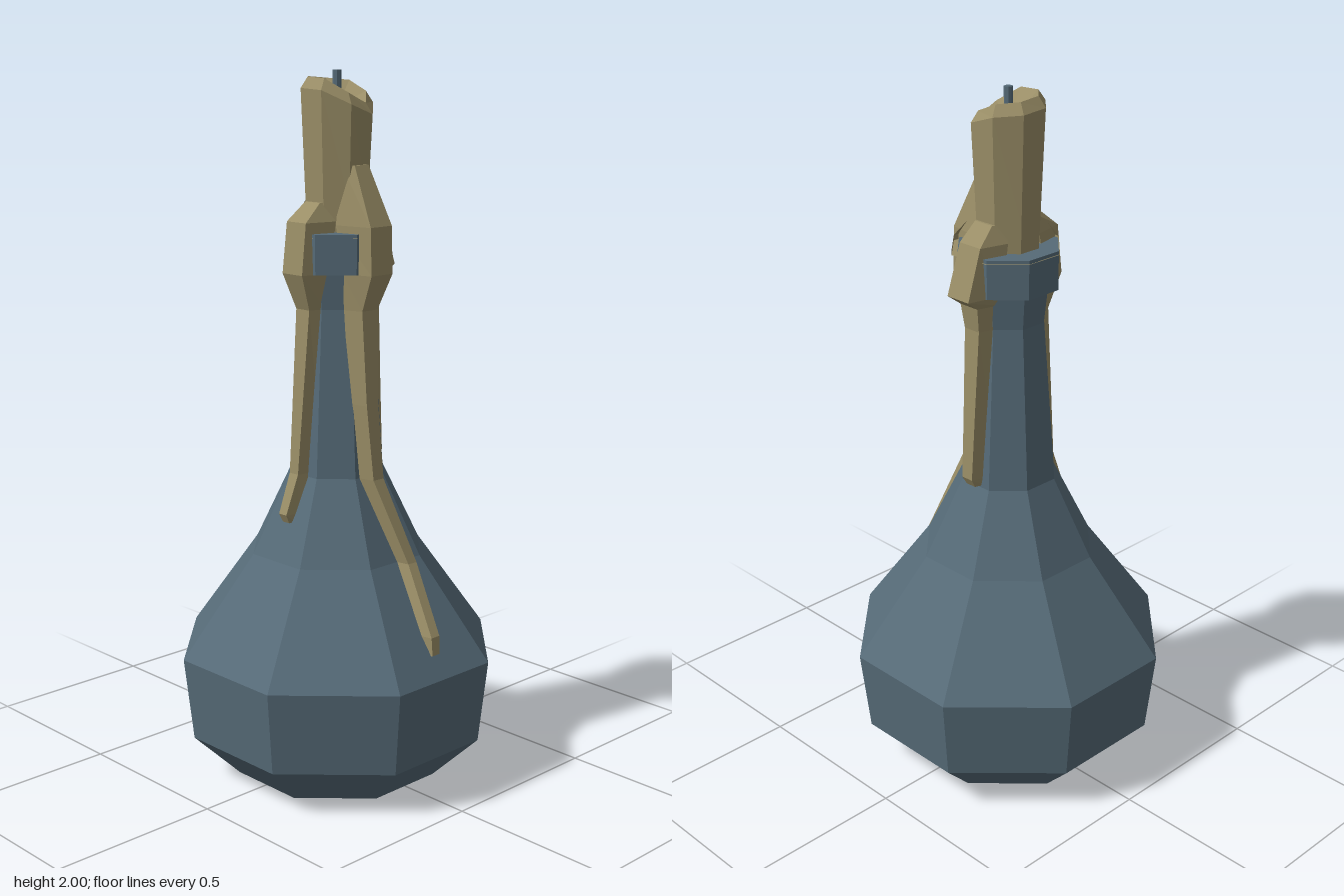
import * as THREE from 'three';

const SIDES = 8;
const CORNER = 1 / Math.cos(Math.PI / SIDES); // flat-to-flat radius -> corner radius

const flat = (geometry) => {
  const g = geometry.index ? geometry.toNonIndexed() : geometry;
  g.computeVertexNormals();
  return g;
};

// Eight-sided turned form with flats facing the axes; points are [radius to flat, y].
// An optional rule moves each vertex: rule(position, angle), angle 0 = +z, PI/2 = +x.
function turned(points, rule) {
  const profile = points.map(([r, y]) => new THREE.Vector2(r * CORNER, y));
  const g = new THREE.LatheGeometry(profile, SIDES, Math.PI / SIDES);
  if (rule) {
    const p = g.attributes.position;
    const v = new THREE.Vector3();
    for (let i = 0; i < p.count; i++) {
      v.fromBufferAttribute(p, i);
      rule(v, Math.atan2(v.x, v.z));
      p.setXYZ(i, v.x, v.y, v.z);
    }
  }
  return flat(g);
}

const BOTTLE = [
  [0, 0], [0.28, 0], [0.405, 0.13], [0.43, 0.37], [0.235, 0.66], [0.13, 0.89],
  [0.097, 1.36], [0.107, 1.46], [0.135, 1.46], [0.135, 1.57], [0, 1.57],
];

// Depth at which a drip is rooted, just under the glass
function rootDepth(y) {
  if (y > 1.36) return y > 1.57 ? 0.06 : 0.085;
  const i = BOTTLE.findIndex((p) => p[1] >= y);
  const [r0, y0] = BOTTLE[i - 1];
  const [r1, y1] = BOTTLE[i];
  return r0 + ((r1 - r0) * (y - y0)) / (y1 - y0) - 0.012;
}

// Wax drip running downward; sections are [y, outer depth, sideways shift, half width]
function drip(angle, sections) {
  const s = Math.sin(angle), c = Math.cos(angle);
  const rings = sections.map(([y, depth, shift, half]) => {
    const root = Math.min(rootDepth(y), depth - 0.005);
    return [[root, -half], [depth, -half * 0.65], [depth, half * 0.65], [root, half]]
      .map(([d, w]) => [s * d + c * (w + shift), y, c * d - s * (w + shift)]);
  });
  const out = [];
  const quad = (a, b, d, e) => out.push(...a, ...b, ...d, ...a, ...d, ...e);
  for (let i = 0; i < rings.length - 1; i++) {
    for (let k = 0; k < 4; k++) {
      const n = (k + 1) % 4;
      quad(rings[i][k], rings[i + 1][k], rings[i + 1][n], rings[i][n]);
    }
  }
  quad(...rings[0]);
  quad(...rings[rings.length - 1].slice().reverse());
  const g = new THREE.BufferGeometry();
  g.setAttribute('position', new THREE.Float32BufferAttribute(out, 3));
  return flat(g);
}

export function createModel() {
  const glass = new THREE.MeshStandardMaterial({ color: 0x566b78 });
  glass.name = 'blue grey glass';
  const wax = new THREE.MeshStandardMaterial({ color: 0x9a8e67 });
  wax.name = 'tan wax';

  const model = new THREE.Group();
  model.name = 'candleInBottle';
  const add = (name, geometry, material) => {
    const mesh = new THREE.Mesh(geometry, material);
    mesh.name = name;
    model.add(mesh);
    return mesh;
  };

  add('bottle', turned(BOTTLE), glass);

  // Candle with a hollow top whose rim has melted low on the left
  add('candle', turned(
    [[0.082, 1.57], [0.085, 1.65], [0.097, 1.945], [0.078, 1.975], [0, 1.9]],
    (v, a) => {
      if (v.y > 1.94) {
        const low = Math.max(0, Math.cos(a - 1.9));
        v.y -= 0.055 * low * low - 0.008 * Math.cos(a + 0.6);
      }
    }), wax);

  // Wax pooled over the lip, swollen toward the back left
  add('waxCollar', turned(
    [[0.08, 1.66], [0.1, 1.625], [0.137, 1.575], [0.137, 1.56], [0.08, 1.56]],
    (v, a) => {
      const swell = 1 + 0.12 * Math.max(0, Math.cos(a - 2.4)) ** 3;
      v.x *= swell;
      v.z *= swell;
    }), wax);

  // Drips
  add('leftDrip', drip(Math.PI / 2, [
    [1.75, 0.096, 0, 0.04], [1.59, 0.172, 0, 0.062], [1.46, 0.176, 0, 0.062],
    [1.36, 0.14, -0.01, 0.045], [1.1, 0.16, -0.018, 0.034], [0.89, 0.177, -0.01, 0.03],
    [0.66, 0.272, 0.03, 0.025], [0.48, 0.388, 0.003, 0.024], [0.43, 0.394, 0, 0.022],
  ]), wax);
  add('frontDrip', drip(0, [
    [1.65, 0.092, 0, 0.045], [1.6, 0.152, 0, 0.058], [1.46, 0.168, 0, 0.06],
    [1.36, 0.13, 0, 0.04], [1.1, 0.147, -0.004, 0.032], [0.9, 0.162, -0.005, 0.026],
    [0.79, 0.205, -0.005, 0.023], [0.765, 0.193, -0.005, 0.02],
  ]), wax);
  add('backDrip', drip(Math.PI, [
    [1.65, 0.092, 0, 0.05], [1.6, 0.142, 0, 0.06], [1.46, 0.188, 0, 0.062],
    [1.43, 0.148, 0, 0.05], [1.36, 0.138, 0, 0.042], [1.1, 0.152, 0, 0.034],
    [0.92, 0.162, 0, 0.03], [0.895, 0.148, 0, 0.026],
  ]), wax);

  const wick = add('wick', flat(new THREE.CylinderGeometry(0.012, 0.012, 0.11, 8)), glass);
  wick.position.y = 1.945;

  return model;
}
